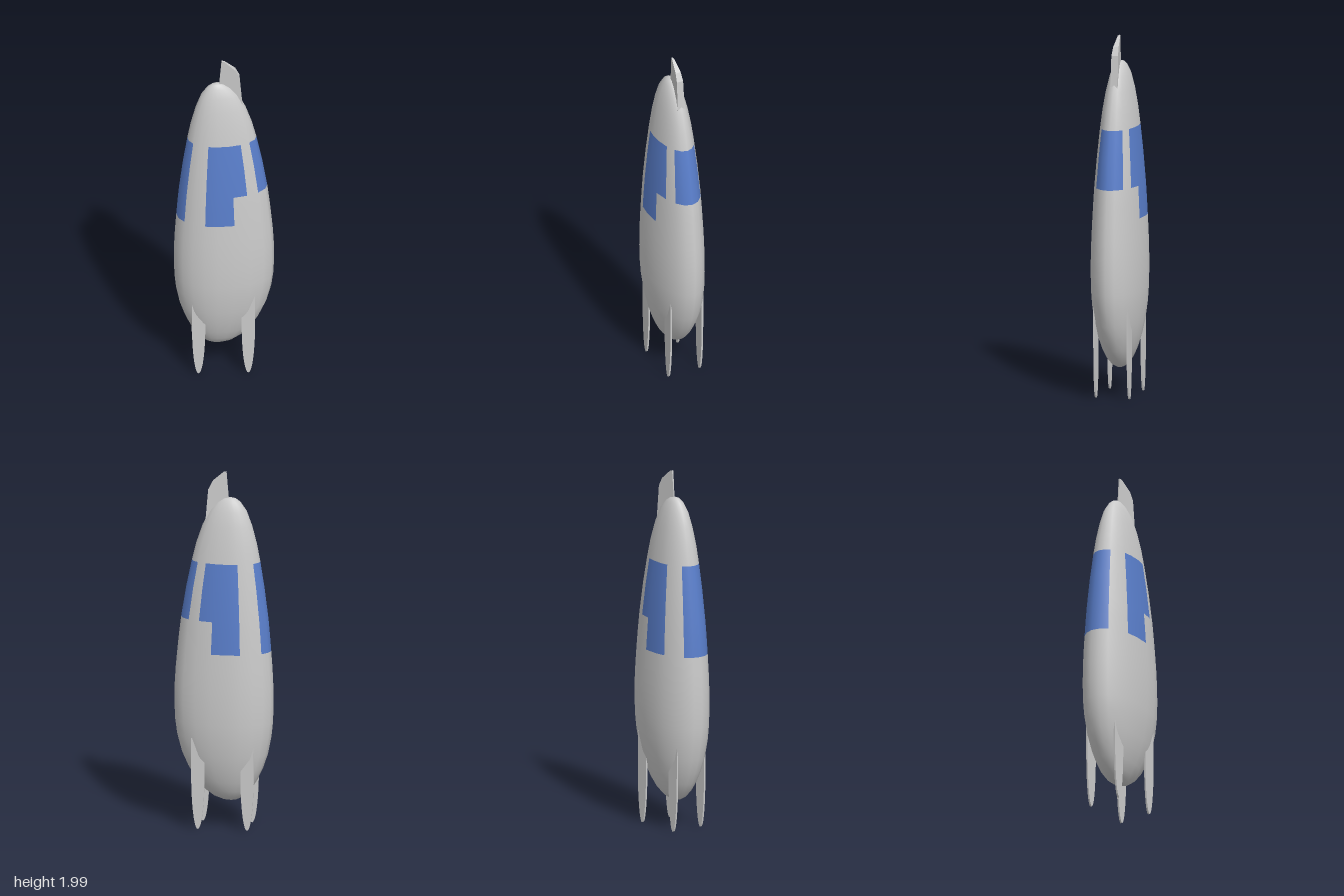
import * as THREE from 'three';
import { mergeVertices } from 'three/addons/utils/BufferGeometryUtils.js';

const CENTRE_X = -0.04; // hull axis; the +x side bulges further than the -x side
const SIDES = 20;

// Hull profile: [relative radius, height]
const PROFILE = [
  [0, 0.155], [0.14, 0.161], [0.3, 0.18], [0.46, 0.216], [0.61, 0.27], [0.75, 0.34],
  [0.865, 0.42], [0.95, 0.52], [0.985, 0.6], [1, 0.7], [0.995, 0.8], [0.975, 0.9],
  [0.945, 1], [0.915, 1.09], [0.88, 1.18], [0.79, 1.35], [0.69, 1.5], [0.61, 1.6],
  [0.5, 1.7], [0.375, 1.78], [0.23, 1.83], [0.12, 1.85], [0, 1.857],
];

function inWindow(angle, y) {
  if (y > 1.5 || y < 1) return false;
  const a = Math.abs(angle); // 0 = +x, 90 = front or back, 180 = -x
  if (a > 144) return true;
  if (a > 72 && a < 108) return true;
  return y > 1.18 && (a < 36 || (a > 54 && a < 72));
}

function makeHull(grey, blue) {
  let geo = new THREE.LatheGeometry(PROFILE.map(([r, y]) => new THREE.Vector2(r, y)), SIDES);
  geo.deleteAttribute('uv');
  geo.deleteAttribute('normal');
  geo = mergeVertices(geo, 1e-5);
  const pos = geo.attributes.position;

  // Sort faces into shell and windows while the section is still circular
  const shell = [], panes = [], idx = geo.index.array;
  for (let i = 0; i < idx.length; i += 3) {
    const tri = [idx[i], idx[i + 1], idx[i + 2]];
    if (new Set(tri).size < 3) continue;
    const mean = (get) => tri.reduce((s, v) => s + get(v), 0) / 3;
    const x = mean((v) => pos.getX(v)), z = mean((v) => pos.getZ(v));
    const angle = THREE.MathUtils.radToDeg(Math.atan2(z, x));
    (inWindow(angle, mean((v) => pos.getY(v))) ? panes : shell).push(...tri);
  }

  // Squash into the lopsided oval section
  for (let i = 0; i < pos.count; i++) {
    const x = pos.getX(i);
    pos.setX(i, CENTRE_X + x * (x > 0 ? 0.312 : 0.235));
    pos.setZ(i, pos.getZ(i) * 0.147);
  }
  geo.computeVertexNormals();

  const part = (indices, material, name) => {
    const g = geo.clone();
    g.setIndex(indices);
    const mesh = new THREE.Mesh(g, material);
    mesh.name = name;
    return mesh;
  };
  const hull = new THREE.Group();
  hull.name = 'hull';
  hull.add(part(shell, grey, 'hullShell'), part(panes, blue, 'windows'));
  return hull;
}

// Wedge fin: knife edge at the front, thick at the trailing edge
function makeTopFin(material) {
  const outline = [
    [-0.04, 1.7], [0.08, 1.65], [0.1, 1.7], [0.083, 1.9], [0.06, 1.945], [0, 1.997],
    [-0.015, 2], [-0.028, 1.85],
  ].map(([x, y]) => new THREE.Vector2(x, y));
  const geo = new THREE.ExtrudeGeometry(new THREE.Shape(outline), { depth: 2, bevelEnabled: false });
  const pos = geo.attributes.position;
  for (let i = 0; i < pos.count; i++) {
    const half = 0.001 + 0.145 * Math.max(0, pos.getX(i) - CENTRE_X);
    pos.setZ(i, (pos.getZ(i) - 1) * half);
  }
  geo.computeVertexNormals();
  const fin = new THREE.Mesh(geo, material);
  fin.name = 'topFin';
  return fin;
}

// Thin blade leg with a rounded, tapering foot
function makeLeg(x, z, material, name) {
  const w = 0.0365, tip = 0.01, shoulder = 0.32;
  const shape = new THREE.Shape();
  shape.moveTo(-w, 0.52);
  shape.lineTo(-w, shoulder);
  shape.bezierCurveTo(-w, 0.16, -0.022, tip, 0, tip);
  shape.bezierCurveTo(0.022, tip, w, 0.16, w, shoulder);
  shape.lineTo(w, 0.52);
  const geo = new THREE.ExtrudeGeometry(shape, { depth: 0.01, bevelEnabled: false, curveSegments: 10 });
  geo.translate(0, 0, -0.005);
  const leg = new THREE.Mesh(geo, material);
  leg.position.set(x, 0, z);
  leg.name = name;
  return leg;
}

export function createModel() {
  const grey = new THREE.MeshStandardMaterial({ color: 0xcccccc });
  const blue = new THREE.MeshStandardMaterial({ color: 0x5a7fcc });
  const model = new THREE.Group();
  model.name = 'airship';
  model.add(makeHull(grey, blue), makeTopFin(grey));
  for (const [z, end] of [[0.093, 'front'], [-0.096, 'back']]) {
    model.add(makeLeg(0.128, z, grey, end + 'LeftLeg'), makeLeg(-0.143, z, grey, end + 'RightLeg'));
  }
  return model;
}
